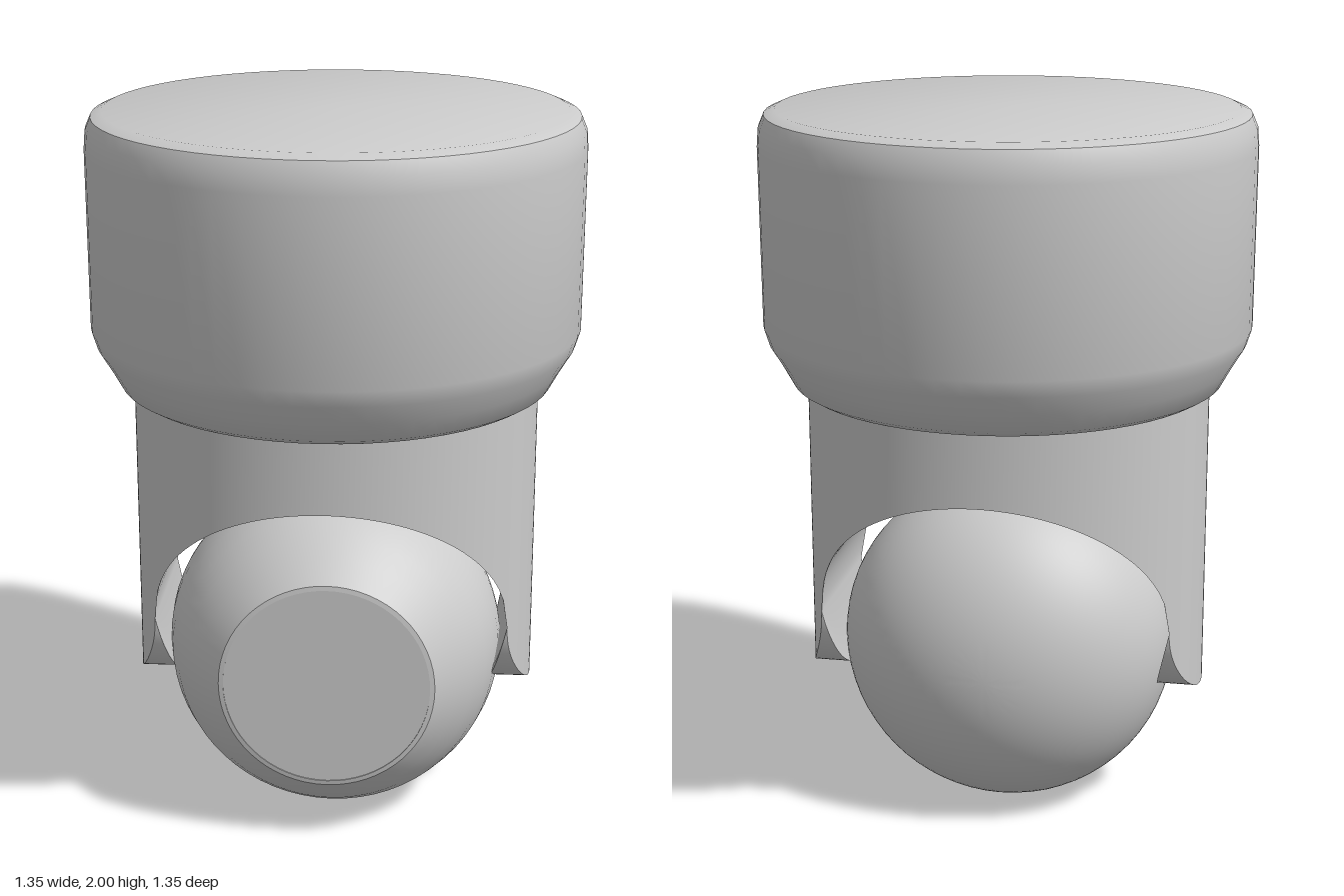
import * as THREE from 'three';
import { toCreasedNormals } from 'three/addons/utils/BufferGeometryUtils.js';

const material = new THREE.MeshStandardMaterial({ color: 0xcccccc });

function part(name, geometry, crease = 0.6) {
  const mesh = new THREE.Mesh(toCreasedNormals(geometry, crease), material);
  mesh.name = name;
  return mesh;
}

// profile: [radius, height] pairs from bottom to top
const lathe = (profile, segments = 64) =>
  new THREE.LatheGeometry(profile.map(([r, y]) => new THREE.Vector2(r, y)), segments);

// Fork: oval column with an arch cut front to back, leaving two round-ended legs
function forkGeometry() {
  const A = 0.56, B = 0.475, top = 1.3;          // oval half-axes and upper end
  const archX = 0.49, archY = 0.6, archH = 0.41; // arch half-width, spring line, rise
  const legZ = B * Math.sqrt(1 - (archX / A) ** 2);
  const arch = x => archY + archH * Math.sqrt(Math.max(0, 1 - (x / archX) ** 2));

  // Slices are denser around the legs
  const half = [];
  for (let i = 0; i <= 20; i++) half.push(legZ * Math.sin(i / 20 * Math.PI / 2));
  const t0 = Math.asin(legZ / B);
  for (let i = 1; i <= 24; i++) half.push(B * Math.sin(t0 + (Math.PI / 2 - t0) * i / 24));
  const slices = [...half.slice(1).reverse().map(z => -z), ...half];

  const archSteps = 40, positions = [], index = [];
  let count = 0;
  slices.forEach(z => {
    const a = A * Math.sqrt(Math.max(0, 1 - (z / B) ** 2));
    const leg = Math.abs(z) < legZ - 1e-6;
    const xi = Math.min(a, archX);
    const yb = leg ? archY - 0.22 * Math.sqrt(1 - (z / legZ) ** 2) : arch(xi);
    const xb = leg ? archX - 0.23 * (archY - yb) : xi; // legs thicken toward the pivot
    const loop = [[a, top], [a, yb], [xb, yb]];
    for (let i = 0; i <= archSteps; i++) {
      const x = xi * Math.cos(Math.PI * i / archSteps);
      loop.push([x, arch(x)]);
    }
    loop.push([-xb, yb], [-a, yb], [-a, top]);
    count = loop.length;
    loop.forEach(([x, y]) => positions.push(x, y, z));
  });
  for (let k = 0; k < slices.length - 1; k++) {
    for (let i = 0; i < count; i++) {
      const j = (i + 1) % count;
      const p = k * count + i, q = k * count + j;
      index.push(p, p + count, q + count, p, q + count, q);
    }
  }
  const g = new THREE.BufferGeometry();
  g.setAttribute('position', new THREE.Float32BufferAttribute(positions, 3));
  g.setIndex(index);
  return g;
}

export function createModel() {
  const group = new THREE.Group();

  // Ceiling mount with rounded top rim and chamfered lower rim
  group.add(part('mountHousing', lathe([
    [0, 1.24], [0.57, 1.24], [0.595, 1.255], [0.625, 1.31], [0.658, 1.365], [0.672, 1.41],
    [0.674, 1.9], [0.67, 1.95], [0.655, 1.985], [0.625, 1.998], [0, 2],
  ]), 0.75));

  group.add(part('fork', forkGeometry()));

  // Camera ball: flattened dome at the back, tapering to a flat face at the front
  const ball = [];
  for (let i = 0; i <= 24; i++) {
    const t = i / 24 * Math.PI / 2;
    ball.push([0.473 * Math.sin(t), 0.02 - 0.39 * Math.cos(t)]);
  }
  ball.push([0.468, 0.08], [0.455, 0.14], [0.433, 0.2], [0.398, 0.26], [0.355, 0.315],
    [0.303, 0.372], [0.297, 0.378], [0.284, 0.38], [0.284, 0.374]);
  const head = new THREE.Group();
  head.name = 'cameraHead';
  head.position.y = 0.475;
  head.add(part('ball', lathe(ball).rotateX(Math.PI / 2)));
  const lens = part('lensWindow', new THREE.CircleGeometry(0.284, 64));
  lens.position.z = 0.377;
  head.add(lens);
  group.add(head);

  return group;
}
